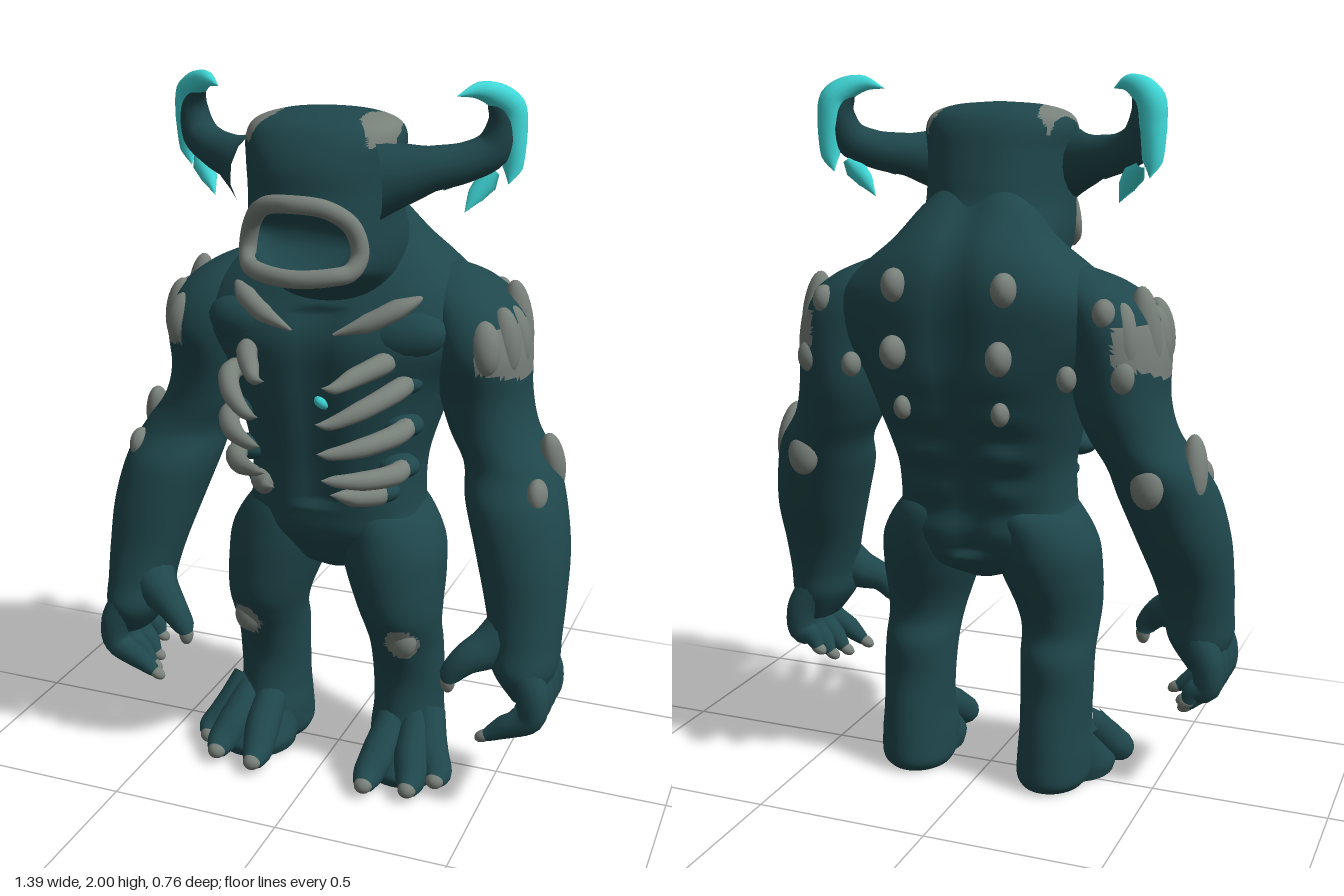
import * as THREE from 'three';

const colour = (name, hex) => {
  const m = new THREE.MeshStandardMaterial({ color: hex });
  m.name = name;
  return m;
};

// Smooth body from horizontal oval rings [x, y, z, rx, rz], listed bottom to top
function loft(rows, power = 2, n = 56, per = 7, bend = null) {
  const mix = (a, b, c, d, t) => 0.5 * (2 * b + (c - a) * t + (2 * a - 5 * b + 4 * c - d) * t * t + (3 * b - a - 3 * c + d) * t * t * t);
  const rings = [], last = rows.length - 1;
  for (let i = 0; i < last; i++) for (let k = 0; k < per; k++) {
    const q = [rows[Math.max(i - 1, 0)], rows[i], rows[i + 1], rows[Math.min(i + 2, last)]];
    rings.push(rows[i].map((_, c) => mix(q[0][c], q[1][c], q[2][c], q[3][c], k / per)));
  }
  rings.push(rows[last]);
  const pos = [], idx = [], v = new THREE.Vector3();
  const put = (x, y, z) => {
    v.set(x, y, z);
    if (bend) bend(v);
    pos.push(v.x, v.y, v.z);
  };
  const round = (c) => Math.sign(c) * Math.abs(c) ** (2 / power);
  for (const [x, y, z, rx, rz] of rings) for (let j = 0; j < n; j++) {
    const a = (j / n) * Math.PI * 2;
    put(x + rx * round(Math.cos(a)), y, z + rz * round(Math.sin(a)));
  }
  const top = rings.length - 1, low = rings.length * n;
  put(...rows[0].slice(0, 3));
  put(...rows[last].slice(0, 3));
  for (let j = 0; j < n; j++) {
    const k = (j + 1) % n;
    for (let i = 0; i < top; i++) {
      const a = i * n + j, b = i * n + k;
      idx.push(a, a + n, b, b, a + n, b + n);
    }
    idx.push(low, j, k, top * n + j, low + 1, top * n + k);
  }
  const g = new THREE.BufferGeometry();
  g.setAttribute('position', new THREE.Float32BufferAttribute(pos, 3));
  g.setIndex(idx);
  g.computeVertexNormals();
  return g;
}

// Tapering tube through points [x, y, z, radius]
function taper(pts, seg = 24, n = 14) {
  const curve = new THREE.CatmullRomCurve3(pts.map((p) => new THREE.Vector3(p[0], p[1], p[2])));
  const g = new THREE.TubeGeometry(curve, seg, 1, n), p = g.attributes.position, v = new THREE.Vector3();
  for (let i = 0; i <= seg; i++) {
    const c = curve.getPointAt(i / seg), t = curve.getUtoTmapping(i / seg) * (pts.length - 1);
    const k = Math.min(Math.floor(t), pts.length - 2);
    const r = THREE.MathUtils.lerp(pts[k][3], pts[k + 1][3], t - k);
    for (let j = 0; j <= n; j++) {
      const at = i * (n + 1) + j;
      v.fromBufferAttribute(p, at).sub(c).multiplyScalar(r).add(c);
      p.setXYZ(at, v.x, v.y, v.z);
    }
  }
  return g;
}

// Ellipsoid with tilt about x and z
const blob = (x, y, z, rx, ry, rz, tiltX = 0, tiltZ = 0) =>
  new THREE.SphereGeometry(1, 20, 14).scale(rx, ry, rz).rotateX(tiltX).rotateZ(tiltZ).translate(x, y, z);

// Sorts triangles into two material groups by the position of their centre
function paint(g, test) {
  const sets = [[], []], p = g.attributes.position, ix = g.index.array, c = new THREE.Vector3(), v = new THREE.Vector3();
  for (let i = 0; i < ix.length; i += 3) {
    c.set(0, 0, 0);
    for (let k = 0; k < 3; k++) c.addScaledVector(v.fromBufferAttribute(p, ix[i + k]), 1 / 3);
    sets[test(c) ? 1 : 0].push(ix[i], ix[i + 1], ix[i + 2]);
  }
  g.setIndex([...sets[0], ...sets[1]]);
  g.addGroup(0, sets[0].length, 0);
  g.addGroup(sets[0].length, sets[1].length, 1);
  return g;
}

function mirrored(g) {
  const m = g.clone().scale(-1, 1, 1), ix = m.index.array;
  for (let i = 0; i < ix.length; i += 3) [ix[i], ix[i + 1]] = [ix[i + 1], ix[i]];
  return m;
}

export function createModel() {
  const model = new THREE.Group();
  const skin = colour('dark teal skin', 0x1f474c);
  const bone = colour('grey bone', 0x78807a);
  const glow = colour('bright cyan', 0x40d8d8);
  const add = (name, g, mat) => {
    const mesh = new THREE.Mesh(g, mat);
    mesh.name = name;
    model.add(mesh);
  };
  const pair = (name, g, mat) => {
    add(name + 'Left', g, mat);
    add(name + 'Right', mirrored(g), mat);
  };

  // Torso with a spine groove, rippled lower back and rib ridges
  add('torso', loft([
    [0, 0.61, -0.02, 0.05, 0.07], [0, 0.66, -0.02, 0.18, 0.14], [0, 0.75, -0.01, 0.265, 0.185],
    [0, 0.83, -0.005, 0.25, 0.19], [0, 0.95, -0.02, 0.25, 0.21], [0, 1.08, -0.04, 0.285, 0.24],
    [0, 1.2, -0.055, 0.325, 0.26], [0, 1.32, -0.06, 0.395, 0.26], [0, 1.42, -0.085, 0.395, 0.235],
    [0, 1.5, -0.1, 0.31, 0.205], [0, 1.57, -0.105, 0.225, 0.16], [0, 1.65, -0.09, 0.16, 0.095], [0, 1.71, -0.07, 0.1, 0.06],
  ], 2.6, 84, 8, (v) => {
    const mid = Math.exp(-((v.x / 0.05) ** 2)), ripple = Math.sin((v.y - 0.84) * 52);
    const side = Math.exp(-(((Math.abs(v.x) - 0.12) / 0.07) ** 2)), waist = Math.exp(-(((v.y - 1.0) / 0.13) ** 2));
    if (v.z < -0.1 && v.y > 0.7) v.z += 0.022 * mid - 0.013 * ripple * side * waist;
    if (v.z > 0.08 && v.y > 0.85 && v.y < 1.4) v.z -= 0.02 * mid;
  }), skin);
  pair('chestMuscle', blob(0.2, 1.33, 0.1, 0.15, 0.08, 0.08, 0, 0.2), skin);
  add('heart', blob(0.022, 1.152, 0.18, 0.026, 0.018, 0.022, 0, -0.4), glow);

  // Head with a hollow mouth and bony temples
  const head = loft([
    [0, 1.35, -0.05, 0.1, 0.1], [0, 1.42, -0.04, 0.155, 0.175], [0, 1.48, 0.0, 0.18, 0.235],
    [0, 1.53, 0.045, 0.195, 0.285], [0, 1.59, 0.065, 0.203, 0.265], [0, 1.66, 0.085, 0.2, 0.24],
    [0, 1.73, 0.09, 0.2, 0.225], [0, 1.8, 0.095, 0.205, 0.21], [0, 1.86, 0.09, 0.212, 0.185],
    [0, 1.9, 0.085, 0.19, 0.15], [0, 1.922, 0.075, 0.12, 0.09], [0, 1.93, 0.07, 0.02, 0.02],
  ], 2.2, 96, 9, (v) => {
    const d = (v.x / 0.15) ** 2 + ((v.y - 1.615) / 0.09) ** 2;
    if (v.z > 0.1 && d < 1) v.z -= 0.14 * Math.sqrt(1 - d);
  });
  add('head', paint(head, ({ x, y, z }) => y > 1.84 && z > -0.03 && z < 0.225 &&
    Math.abs(Math.abs(x) - 0.163) < 0.045 * Math.min(1, 0.35 + (z + 0.03) * 5, (0.225 - z) * 16)), [skin, bone]);
  const lip = [[0, 1.715, 0.325], [0.085, 1.703, 0.305], [0.138, 1.655, 0.265], [0.156, 1.585, 0.258],
    [0.142, 1.545, 0.285], [0.1, 1.535, 0.32], [0, 1.528, 0.345]];
  const ring = [...lip, ...lip.slice(1, -1).reverse().map(([x, y, z]) => [-x, y, z])];
  add('lips', new THREE.TubeGeometry(
    new THREE.CatmullRomCurve3(ring.map((p) => new THREE.Vector3(...p)), true), 72, 0.024, 12, true), bone);

  // Horns: dark stem, bright outer crescent and lower prong, on a swept-back plane
  const horn = (pts) => taper(pts.map(([x, y, r]) => [x, y, 0.04 - 0.6 * (x - 0.33), r]), 32);
  pair('hornStem', horn([[0.15, 1.765, 0.115], [0.21, 1.77, 0.085], [0.28, 1.782, 0.06], [0.36, 1.797, 0.053],
    [0.42, 1.83, 0.05], [0.44, 1.9, 0.038], [0.42, 1.95, 0.022], [0.39, 1.965, 0]]), skin);
  pair('hornCrescent', horn([[0.46, 1.735, 0], [0.468, 1.78, 0.027], [0.466, 1.87, 0.038], [0.458, 1.935, 0.04],
    [0.425, 1.965, 0.034], [0.385, 1.978, 0.023], [0.335, 1.965, 0]]), glow);
  pair('hornProng', horn([[0.43, 1.77, 0.012], [0.41, 1.745, 0.03], [0.385, 1.71, 0.023], [0.36, 1.665, 0]]), glow);
  pair('hornBarb', horn([[0.34, 1.79, 0.04], [0.325, 1.75, 0.022], [0.31, 1.725, 0]]), skin);

  // Collarbones and rib spikes
  pair('collarbone', taper([[0.28, 1.445, 0.07, 0.005], [0.22, 1.42, 0.14, 0.028], [0.15, 1.385, 0.18, 0.026],
    [0.06, 1.35, 0.2, 0.004]]), bone);
  const ribs = [[0.2, 1.28, 1.245, 0.34], [0.245, 1.215, 1.16, 0.385], [0.25, 1.095, 1.075, 0.375], [0.24, 0.975, 0.99, 0.345], [0.18, 0.895, 0.925, 0.28]];
  for (const [x, y, tipY, z] of ribs) {
    pair('rib', taper([[x, y, 0.13, 0.028], [x * 0.97, y, z * 0.57, 0.03], [x * 0.73, (y + tipY) / 2, z * 0.84, 0.026],
      [0.11, tipY, z * 0.98, 0.015], [0.08, tipY, z, 0]]), bone);
    pair('ribRoot', blob(x * 0.92, y, 0.12, 0.06, 0.035, 0.055), skin);
  }

  // Arms with a bony shoulder patch
  const arm = loft([
    [0.61, 0.36, 0.12, 0.045, 0.09], [0.6, 0.44, 0.12, 0.09, 0.125], [0.595, 0.52, 0.105, 0.098, 0.12],
    [0.583, 0.62, 0.08, 0.112, 0.125], [0.56, 0.75, 0.04, 0.13, 0.15], [0.525, 0.88, 0, 0.138, 0.16],
    [0.495, 0.97, -0.045, 0.128, 0.15], [0.44, 1.06, -0.065, 0.122, 0.155], [0.41, 1.16, -0.075, 0.125, 0.172],
    [0.4, 1.29, -0.065, 0.13, 0.195], [0.375, 1.39, -0.075, 0.125, 0.18], [0.33, 1.46, -0.09, 0.09, 0.13],
    [0.29, 1.505, -0.1, 0.03, 0.04],
  ], 2.1, 64, 9);
  pair('arm', paint(arm, ({ x, y, z }) => x > 0.43 && y > 1.215 + 0.6 * Math.abs(z + 0.05) ** 1.5 && y < 1.37 && z < 0.13), [skin, bone]);
  for (const [y, z, h, x, tilt] of [[1.32, 0.085, 0.075, 0.445, -0.3], [1.325, 0.02, 0.095, 0.482, -0.1], [1.315, -0.05, 0.095, 0.492, 0],
    [1.34, -0.12, 0.125, 0.482, 0.05], [1.33, -0.195, 0.1, 0.445, 0.2]])
    pair('shoulderPlate', blob(x, y, z, 0.042, h, 0.045, tilt * 0.5, 0.12), bone);
  pair('upperArmKnob', blob(0.45, 1.24, -0.23, 0.035, 0.045, 0.03), bone);
  pair('forearmPlate', blob(0.61, 0.975, -0.06, 0.034, 0.092, 0.045, 0.3, 0.12), bone);
  pair('forearmKnob', blob(0.6, 0.92, 0.075, 0.03, 0.048, 0.045), bone);
  pair('elbowKnob', blob(0.51, 0.94, -0.175, 0.045, 0.06, 0.035), bone);

  // Hands: curled fingers, thumb and claws
  [[0.205, 0.235, 0.5], [0.145, 0.225, 0.54], [0.085, 0.23, 0.56], [0.025, 0.265, 0.575]].forEach(([z, tipY, tipX]) => {
    const bz = 0.115 + (z - 0.115) * 0.8;
    pair('finger', taper([[0.6, 0.47, bz, 0.052], [0.642, 0.385, z, 0.046], [0.64, 0.32, z, 0.041],
      [(0.635 + tipX) / 2, tipY + 0.04, z, 0.033], [tipX + 0.01, tipY, z, 0.014], [tipX, tipY - 0.004, z, 0]]), skin);
    pair('fingerClaw', blob(tipX + 0.01, tipY + 0.002, z, 0.027, 0.017, 0.019, 0, 0.5), bone);
  });
  pair('thumb', taper([[0.58, 0.56, 0.12, 0.08], [0.51, 0.495, 0.165, 0.06], [0.45, 0.46, 0.2, 0.043],
    [0.41, 0.41, 0.21, 0.031], [0.4, 0.36, 0.205, 0]]), skin);
  pair('thumbClaw', blob(0.404, 0.39, 0.21, 0.021, 0.034, 0.021), bone);

  // Legs with bony knees
  pair('leg', paint(loft([
    [0.21, 0, -0.04, 0.09, 0.11], [0.213, 0.03, -0.035, 0.106, 0.137], [0.215, 0.1, -0.025, 0.108, 0.142],
    [0.215, 0.18, -0.03, 0.102, 0.125], [0.215, 0.28, -0.025, 0.105, 0.112], [0.212, 0.38, -0.01, 0.106, 0.125],
    [0.21, 0.45, 0.02, 0.11, 0.13], [0.203, 0.52, 0.03, 0.122, 0.15], [0.185, 0.62, 0.015, 0.142, 0.172],
    [0.165, 0.72, 0, 0.15, 0.182], [0.14, 0.82, -0.01, 0.11, 0.17], [0.12, 0.88, 0, 0.05, 0.1],
  ]), (c) => c.z > 0.05 && ((c.x - 0.24) / 0.046) ** 2 + ((c.y - 0.435) / 0.056) ** 2 < 1), [skin, bone]);
  pair('kneeCap', blob(0.24, 0.44, 0.12, 0.042, 0.05, 0.03), bone);

  // Feet: sloping instep, three splayed toes with nails
  pair('instep', loft([[0.24, 0, 0.07, 0.115, 0.12], [0.24, 0.035, 0.07, 0.122, 0.13], [0.235, 0.08, 0.04, 0.112, 0.115],
    [0.225, 0.14, 0, 0.1, 0.105], [0.22, 0.2, -0.03, 0.09, 0.1]]), skin);
  for (const [x, z] of [[0.36, 0.165], [0.3, 0.24], [0.175, 0.262]]) {
    const bx = 0.225 + (x - 0.225) * 0.5;
    pair('toe', taper([[bx, 0.17, 0.02, 0.05], [(bx + x) / 2, 0.09, z * 0.6, 0.052], [x, 0.046, z * 0.87, 0.044],
      [x, 0.034, z, 0.03], [x, 0.03, z + 0.02, 0]]), skin);
    pair('toenail', blob(x, 0.036, z, 0.027, 0.025, 0.028), bone);
  }

  // Knobs along the back
  for (const [x, y, z, r] of [[0.155, 1.46, -0.305, 0.042], [0.15, 1.285, -0.33, 0.042], [0.14, 1.13, -0.29, 0.03], [0.4, 1.4, -0.23, 0.038], [0.31, 1.23, -0.255, 0.032]])
    pair('backKnob', blob(x, y, z, r * 0.8, r * 1.1, r, -0.3), bone);

  return model;
}
